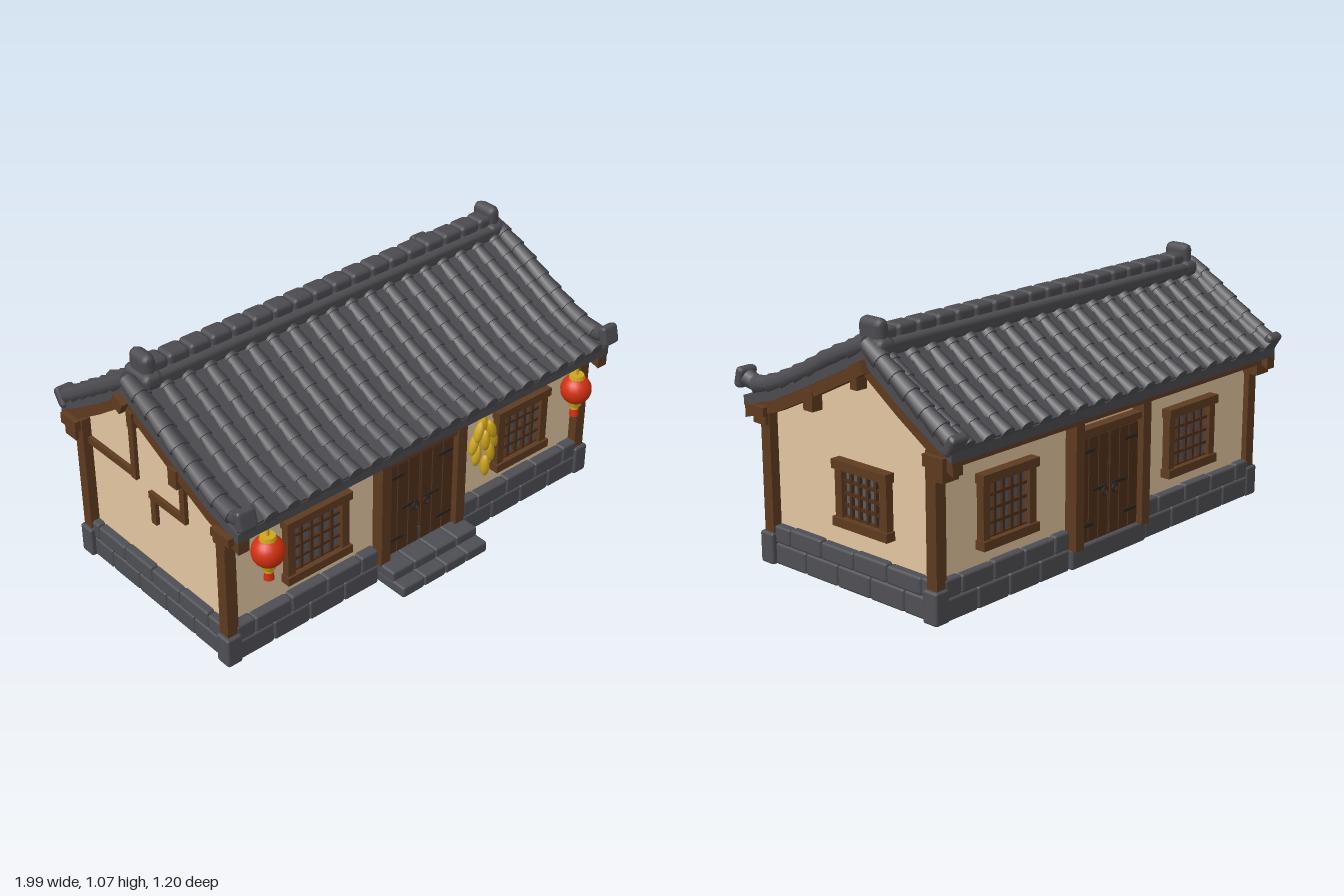
import * as THREE from 'three';
import { mergeGeometries } from 'three/addons/utils/BufferGeometryUtils.js';
import { RoundedBoxGeometry } from 'three/addons/geometries/RoundedBoxGeometry.js';

const paint = (name, color) => Object.assign(new THREE.MeshStandardMaterial({ color }), { name });
const M = {
  tile: paint('roof tile', 0x4b4b50),
  stone: paint('stone', 0x4e4f54),
  plaster: paint('plaster', 0xe2c5a0),
  wood: paint('wood', 0x5e3b20),
  door: paint('dark wood', 0x4e2f1a),
  pane: paint('window pane', 0x565a62),
  red: paint('lantern red', 0xd2300f),
  yellow: paint('corn yellow', 0xcfa61c),
  iron: paint('iron', 0x2c2520),
};

// Box from its limits, and a softened version for stones
const box = (x0, x1, y0, y1, z0, z1) =>
  new THREE.BoxGeometry(x1 - x0, y1 - y0, z1 - z0).translate((x0 + x1) / 2, (y0 + y1) / 2, (z0 + z1) / 2);
const soft = (x0, x1, y0, y1, z0, z1, r = 0.01) =>
  new RoundedBoxGeometry(x1 - x0, y1 - y0, z1 - z0, 1, r).translate((x0 + x1) / 2, (y0 + y1) / 2, (z0 + z1) / 2);

function add(parent, name, mat, geos) {
  const list = [].concat(geos).map((g) => (g.index ? g.toNonIndexed() : g));
  const mesh = new THREE.Mesh(list.length > 1 ? mergeGeometries(list) : list[0], mat);
  mesh.name = name;
  parent.add(mesh);
  return mesh;
}

// Extrudes a [z, y] outline along x
function extrudeX(pts, x0, x1) {
  const shape = new THREE.Shape(pts.map(([z, y]) => new THREE.Vector2(z, y)));
  return new THREE.ExtrudeGeometry(shape, { depth: x1 - x0, bevelEnabled: false }).rotateY(-Math.PI / 2).translate(x1, 0, 0);
}

// Closed strip lying between two vertical offsets of a profile
const band = (pts, top, bottom) => [
  ...pts.map(([z, y]) => [z, y + top]), ...[...pts].reverse().map(([z, y]) => [z, y + bottom])];

const UP = new THREE.Vector3(0, 1, 0);
const curveOf = (pts) => new THREE.CatmullRomCurve3(pts.map(([z, y]) => new THREE.Vector3(0, y, z)));
// Turns a geometry built along y to follow a curve, at x
function along(geo, curve, t, x, lift = 0) {
  const q = new THREE.Quaternion().setFromUnitVectors(UP, curve.getTangentAt(t));
  const p = curve.getPointAt(t);
  return geo.applyQuaternion(q).translate(x, p.y + lift, p.z);
}

// Roof slopes as [z, y], from the ridge down to the eave
const FRONT = [[-0.13, 0.955], [0.05, 0.865], [0.2, 0.79], [0.36, 0.715], [0.54, 0.66]];
const BACK = [[-0.13, 0.955], [-0.3, 0.835], [-0.45, 0.74], [-0.57, 0.67]];

function buildRoof(root) {
  const roof = new THREE.Group();
  roof.name = 'roof';
  root.add(roof);
  const covers = [], pans = [], verges = [], rakes = [];
  const X0 = -0.91, PITCH = 0.1, COLS = 19;
  for (const [pts, rows] of [[FRONT, 9], [BACK, 6]]) {
    const curve = curveOf(pts), len = curve.getLength() / rows;
    add(roof, 'roofDeck', M.tile, extrudeX(pts[0] && pts === FRONT ? band(pts, 0, -0.04).reverse() : band(pts, 0, -0.04), -0.96, 0.97));
    for (let r = 0; r < rows; r++) {
      for (let c = 0; c < COLS; c++) {
        const x = X0 + c * PITCH, t = (r + 0.5) / rows;
        covers.push(along(new THREE.CylinderGeometry(0.033, 0.026, len * 1.12, 8), curve, t, x, 0.007));
        if (c < COLS - 1) {
          // Pan tiles sit half a row off the covers and tilt to overlap
          const tp = Math.min((r + (c % 2 ? 0.8 : 0.5)) / rows, 1 - 0.45 / rows);
          const sign = pts === FRONT ? 1 : -1;
          pans.push(along(new THREE.BoxGeometry(0.06, len, 0.016).rotateX(sign * 0.08), curve, tp, x + PITCH / 2, 0.008));
        }
      }
    }
    for (const x0 of [-0.96, 0.915]) rakes.push(extrudeX(band(pts, -0.04, -0.09), x0, x0 + 0.05));
  }
  add(roof, 'coverTiles', M.tile, covers);
  add(roof, 'panTiles', M.tile, pans);
  add(roof, 'rakeBoards', M.wood, rakes);

  // Verge tiles along the gables, curling up at the front eave
  const paths = [
    [[-0.13, 0.975], [0.05, 0.895], [0.2, 0.815], [0.38, 0.735], [0.48, 0.712], [0.565, 0.73]],
    [[-0.13, 0.975], [-0.3, 0.865], [-0.45, 0.765], [-0.57, 0.69]]];
  for (const x of [-0.935, 0.945])
    paths.forEach((pts, k) => {
      const curve = curveOf(pts), n = k ? 6 : 9, len = curve.getLength() / n;
      for (let i = 0; i < n; i++)
        verges.push(along(new THREE.CylinderGeometry(0.039, 0.031, len * 1.08, 8), curve, (i + 0.5) / n, x));
      verges.push(along(new RoundedBoxGeometry(0.085, 0.04, 0.085, 1, 0.015), curve, 0.985, x));
    });
  add(roof, 'vergeTiles', M.tile, verges);

  // Ridge of overlapping blocks with a raised block on each end
  const ridge = [soft(-0.88, 0.94, 0.93, 0.99, -0.205, -0.055, 0.02)];
  for (let i = 0; i < 18; i++) {
    const x = -0.87 + i * 0.1;
    ridge.push(soft(x, x + 0.098, 0.955, 1.03, -0.175, -0.085, 0.018));
  }
  for (const x of [-0.86, 0.91]) {
    ridge.push(soft(x - 0.03, x + 0.03, 0.96, 1.07, -0.19, -0.07, 0.03));
    ridge.push(soft(x - 0.045, x + 0.045, 0.93, 1.0, -0.21, -0.05, 0.03));
  }
  add(roof, 'ridge', M.tile, ridge);
}

// Lattice window facing +z, centred on its group
function buildWindow(root, w, h, x, y, z, turn) {
  const g = new THREE.Group();
  g.name = 'window';
  const a = w / 2, b = h / 2, f = 0.036, bars = [];
  add(g, 'pane', M.pane, box(-a + f, a - f, -b + f, b - f, 0, 0.006));
  add(g, 'windowFrame', M.wood, [
    box(-a + 0.008, -a + 0.008 + f, -b, b, -0.01, 0.032), box(a - 0.008 - f, a - 0.008, -b, b, -0.01, 0.032),
    box(-a, a, b - f, b, -0.01, 0.042), box(-a, a, -b, -b + f, -0.01, 0.042)]);
  for (let i = 0; i < 6; i++) {
    const p = (-a + f) + (i / 5) * (w - 2 * f);
    bars.push(box(p - 0.006, p + 0.006, -b + f, b - f, 0, 0.02));
  }
  for (let i = 0; i < 5; i++) {
    const p = (-b + f) + (i / 4) * (h - 2 * f);
    bars.push(box(-a + f, a - f, p - 0.006, p + 0.006, 0, 0.018));
  }
  add(g, 'lattice', M.door, bars);
  g.position.set(x, y, z);
  g.rotation.y = turn;
  root.add(g);
}

// Double door facing +z, standing on y = 0
function buildDoor(root, x, z, turn) {
  const g = new THREE.Group();
  g.name = 'door';
  const leaves = [], trim = [], iron = [];
  for (const s of [-1, 1]) {
    const side = (p, q, ...r) => (s > 0 ? box(p, q, ...r) : box(-q, -p, ...r));
    leaves.push(side(0.003, 0.18, 0.07, 0.53, -0.02, 0.012));
    for (let i = 0; i < 3; i++) leaves.push(side(0.008 + i * 0.058, 0.06 + i * 0.058, 0.09, 0.51, 0, 0.018));
    trim.push(side(0.178, 0.225, 0.08, 0.61, -0.03, 0.045));
    for (const y of [0.15, 0.45]) iron.push(side(0.09, 0.17, y, y + 0.014, 0.015, 0.022));
    iron.push(new THREE.TorusGeometry(0.016, 0.004, 6, 12).translate(s * 0.03, 0.275, 0.025));
    iron.push(side(0.018, 0.1, 0.288, 0.3, 0.015, 0.023));
  }
  trim.push(box(-0.18, 0.18, 0.525, 0.552, -0.02, 0.035), box(-0.18, 0.18, 0.585, 0.61, -0.02, 0.035));
  add(g, 'doorLeaves', M.door, leaves);
  add(g, 'doorFrame', M.wood, trim);
  add(g, 'doorIron', M.iron, iron);
  add(g, 'threshold', M.stone, [soft(-0.225, 0.225, 0, 0.085, -0.03, 0.03)]);
  g.position.set(x, 0, z);
  g.rotation.y = turn;
  root.add(g);
}

function buildLantern(root, x) {
  const g = new THREE.Group();
  g.name = 'lantern';
  const cyl = (r0, r1, y0, y1) => new THREE.CylinderGeometry(r0, r1, y1 - y0, 12).translate(0, (y0 + y1) / 2, 0);
  add(g, 'lanternBody', M.red, new THREE.SphereGeometry(0.065, 20, 14).translate(0, 0.49, 0));
  add(g, 'lanternCaps', M.yellow, [cyl(0.03, 0.034, 0.545, 0.562), cyl(0.006, 0.006, 0.56, 0.61),
    cyl(0.032, 0.026, 0.412, 0.432), cyl(0.018, 0.018, 0.395, 0.413)]);
  add(g, 'tassel', M.red, cyl(0.017, 0.021, 0.363, 0.398));
  g.position.set(x, 0, 0.505);
  root.add(g);
}

// Two courses of stones between a and b; place(p, q, y0, y1) returns one stone
function courses(a, b, place) {
  const out = [], n = Math.max(2, Math.round((b - a) / 0.19)), s = (b - a) / n;
  [[0, 0.088], [0.088, 0.163]].forEach(([y0, y1], row) => {
    for (let i = 0; i < n + row; i++) {
      const p = Math.max(a, a + (i - row / 2) * s), q = Math.min(b, a + (i + 1 - row / 2) * s);
      out.push(place(p + 0.001, q - 0.001, y0, y1 - (i % 2) * 0.004 * row));
    }
  });
  return out;
}

export function createModel() {
  const root = new THREE.Group();
  root.name = 'house';

  // Plaster walls with gable tops
  add(root, 'walls', M.plaster, extrudeX([[-0.455, 0.1], [0.415, 0.1], [0.415, 0.635], [0.15, 0.755], [-0.13, 0.9], [-0.455, 0.68]].reverse(), -0.92, 0.92));

  // Stone footing
  const stones = [box(-0.94, 0.94, 0.002, 0.15, -0.47, 0.44)];
  for (const [a, b] of [[-0.92, -0.215], [0.245, 0.92]]) {
    stones.push(...courses(a, b, (p, q, y0, y1) => soft(p, q, y0, y1, 0.38, 0.46)));
    stones.push(...courses(a, b, (p, q, y0, y1) => soft(p, q, y0, y1, -0.485, -0.4)));
  }
  for (const s of [-1, 1]) {
    stones.push(...courses(-0.48, 0.41, (p, q, y0, y1) => soft(s * 0.91 - 0.045, s * 0.91 + 0.045, y0, y1, p, q)));
    for (const z of [0.435, -0.455]) stones.push(soft(s * 0.94 - 0.035, s * 0.94 + 0.035, 0, 0.13, z - 0.036, z + 0.036));
  }
  add(root, 'footing', M.stone, stones);

  // Front steps
  const steps = [];
  for (let i = 0; i < 4; i++) {
    const x = -0.21 + i * 0.115;
    steps.push(soft(x, x + 0.114, 0, 0.05, 0.44, 0.6), soft(x, x + 0.114, 0.04, 0.09, 0.42, 0.54));
  }
  add(root, 'steps', M.stone, steps);

  // Corner posts, eave beams, purlins and brackets
  const frame = [];
  for (const s of [-1, 1]) {
    const x0 = s * 0.935 - 0.025, x1 = s * 0.935 + 0.025;
    frame.push(box(x0, x1, 0.12, 0.62, 0.405, 0.455), box(x0, x1, 0.12, 0.65, -0.48, -0.43));
    frame.push(box(x0 - 0.015, x1 + 0.015, 0.565, 0.605, 0.41, 0.48), box(x0 - 0.015, x1 + 0.015, 0.55, 0.605, -0.53, -0.46));
    const e0 = s > 0 ? 0.9 : -0.97, e1 = s > 0 ? 0.97 : -0.9;
    frame.push(box(e0, e1, 0.67, 0.75, 0.145, 0.195), box(e0, e1, 0.8, 0.87, -0.1, -0.065));
  }
  frame.push(box(-0.985, 0.985, 0.6, 0.636, 0.41, 0.515), box(-0.985, 0.985, 0.6, 0.645, -0.54, -0.44));
  frame.push(new THREE.BoxGeometry(1.99, 0.05, 0.06).rotateX(0.45).translate(0.005, 0.89, -0.13));
  add(root, 'timberFrame', M.wood, frame);

  // Half timbering on the windowless gable
  add(root, 'gableTimbers', M.wood, [[0.53, 0.87, -0.145, -0.115], [0.535, 0.565, -0.45, -0.12],
    [0.49, 0.52, -0.04, 0.19], [0.38, 0.5, -0.03, 0], [0.5, 0.73, 0.16, 0.19]].map((r) => box(-0.937, -0.915, ...r)));

  // Openings
  for (const [z, turn] of [[0.416, 0], [-0.457, Math.PI]]) {
    buildWindow(root, 0.32, 0.29, -0.51, 0.367, z, turn);
    buildWindow(root, 0.3, 0.29, 0.585, 0.367, z, turn);
  }
  buildWindow(root, 0.29, 0.26, 0.921, 0.38, -0.085, Math.PI / 2);
  buildDoor(root, 0.015, 0.425, 0);
  buildDoor(root, 0.015, -0.465, Math.PI);

  buildRoof(root);
  buildLantern(root, -0.8);
  buildLantern(root, 0.83);

  // Hanging bunch of corn with dry stalks
  const cobs = [], stalks = [];
  [[0, 0.51, 0], [-0.03, 0.485, -0.3], [0.032, 0.48, 0.3], [-0.045, 0.43, -0.3], [0.05, 0.425, 0.3], [0, 0.44, 0.05],
    [-0.028, 0.37, -0.15], [0.038, 0.365, 0.15], [0.005, 0.315, 0]].forEach(([x, y, tilt], i) =>
    cobs.push(new THREE.SphereGeometry(1, 10, 8).scale(0.02, 0.05, 0.02).rotateZ(tilt).translate(0.34 + x, y, 0.455 + (i % 3) * 0.009)));
  for (let i = -2; i <= 2; i++)
    stalks.push(new THREE.CylinderGeometry(0.003, 0.003, 0.06, 5).translate(0, 0.03, 0).rotateZ(-i * 0.4).translate(0.34, 0.545, 0.46));
  add(root, 'cornCobs', M.yellow, cobs);
  add(root, 'cornStalks', M.iron, stalks);
  return root;
}
